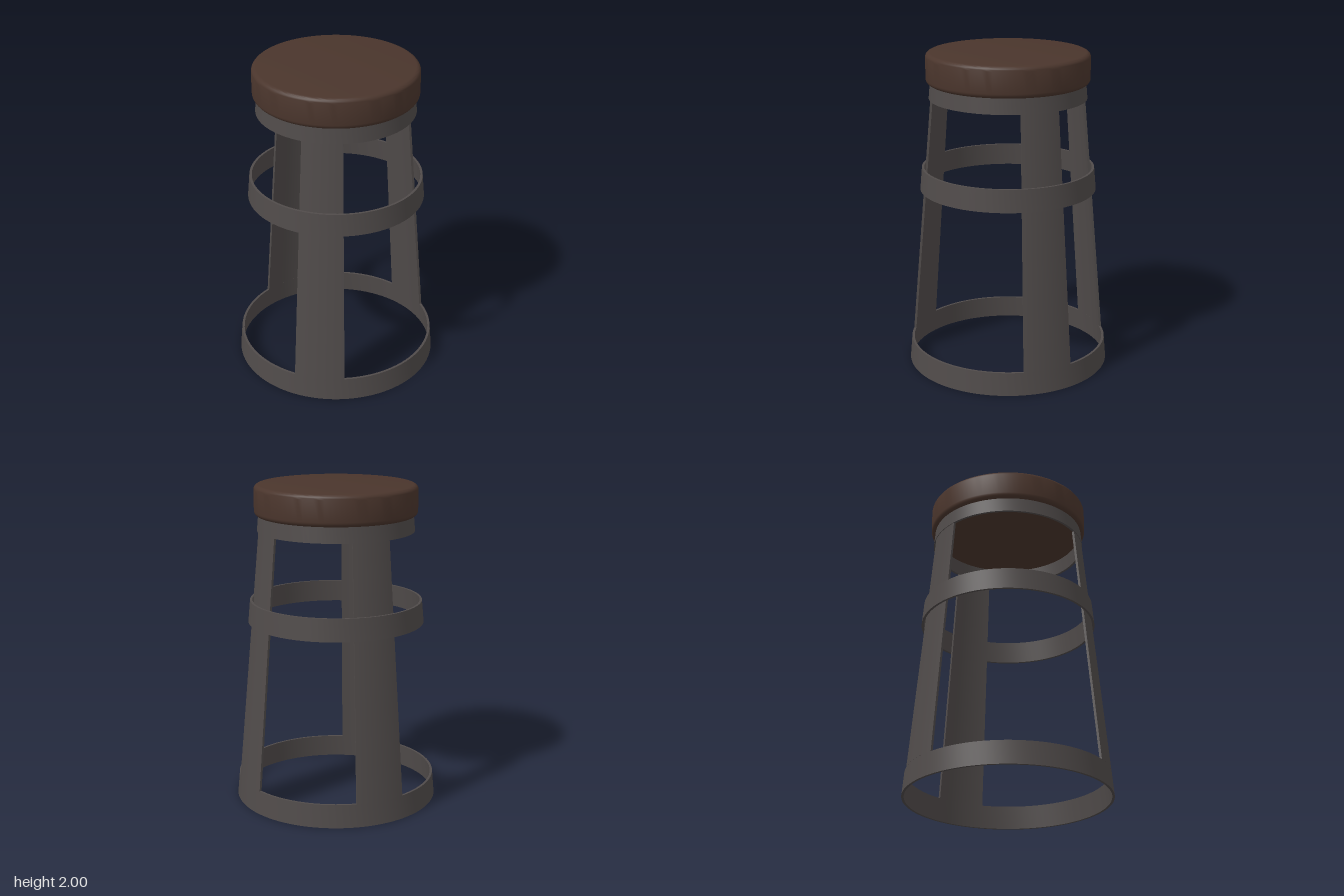
import * as THREE from 'three';
import { toCreasedNormals } from 'three/addons/utils/BufferGeometryUtils.js';

const THICKNESS = 0.015;
// outer radius of the tapered frame at height y
const frameRadius = (y) => 0.638 - 0.0896 * y;

// Tapered hoop with a rectangular section, standing proud of the frame by offset
function hoopGeometry(y0, y1, offset = 0) {
  const r0 = frameRadius(y0) + offset, r1 = frameRadius(y1) + offset;
  const profile = [
    [r0, y0], [r1, y1], [r1 - THICKNESS, y1], [r0 - THICKNESS, y0], [r0, y0],
  ].map(([x, y]) => new THREE.Vector2(x, y));
  return toCreasedNormals(new THREE.LatheGeometry(profile, 96), 0.5);
}

// Curved plate following the frame's cone: a box bent around the y axis
function legGeometry(y0, y1, halfAngle) {
  const geometry = new THREE.BoxGeometry(2 * halfAngle, y1 - y0, THICKNESS, 16, 1, 1);
  geometry.translate(0, (y0 + y1) / 2, -THICKNESS / 2);
  const p = geometry.attributes.position;
  for (let i = 0; i < p.count; i++) {
    const phi = p.getX(i), y = p.getY(i), r = frameRadius(y) + p.getZ(i);
    p.setXYZ(i, r * Math.sin(phi), y, r * Math.cos(phi));
  }
  return toCreasedNormals(geometry, 0.5);
}

// Round cushion with softened rims
function seatGeometry(radius, y0, y1, fillet) {
  const points = [new THREE.Vector2(0, y0)];
  const steps = 6;
  for (const [cy, start] of [[y0 + fillet, -Math.PI / 2], [y1 - fillet, 0]]) {
    for (let i = 0; i <= steps; i++) {
      const a = start + (i / steps) * Math.PI / 2;
      points.push(new THREE.Vector2(radius - fillet + fillet * Math.cos(a), cy + fillet * Math.sin(a)));
    }
  }
  points.push(new THREE.Vector2(0, y1));
  return toCreasedNormals(new THREE.LatheGeometry(points, 96), 0.5);
}

export function createModel() {
  const metal = new THREE.MeshStandardMaterial({ color: 0x504b4a });
  metal.name = 'dark metal';
  const leather = new THREE.MeshStandardMaterial({ color: 0x4a352c });
  leather.name = 'brown leather';

  const stool = new THREE.Group();
  stool.name = 'stool';
  const add = (name, geometry, material) => {
    const mesh = new THREE.Mesh(geometry, material);
    mesh.name = name;
    stool.add(mesh);
    return mesh;
  };

  // Hoops
  add('baseRing', hoopGeometry(0, 0.145), metal);
  add('footRing', hoopGeometry(1.14, 1.28, 0.0155), metal);
  add('seatRing', hoopGeometry(1.715, 1.815, 0.004), metal);

  // Three legs between the base and seat rings: one in front, two angled to the back
  const leg = legGeometry(0.145, 1.715, 0.255);
  const legAngles = { frontLeg: 0, backLeftLeg: 135, backRightLeg: -135 };
  for (const [name, degrees] of Object.entries(legAngles)) {
    add(name, leg, metal).rotation.y = THREE.MathUtils.degToRad(degrees);
  }

  // Cushion
  add('seat', seatGeometry(0.505, 1.81, 2, 0.03), leather);

  return stool;
}
